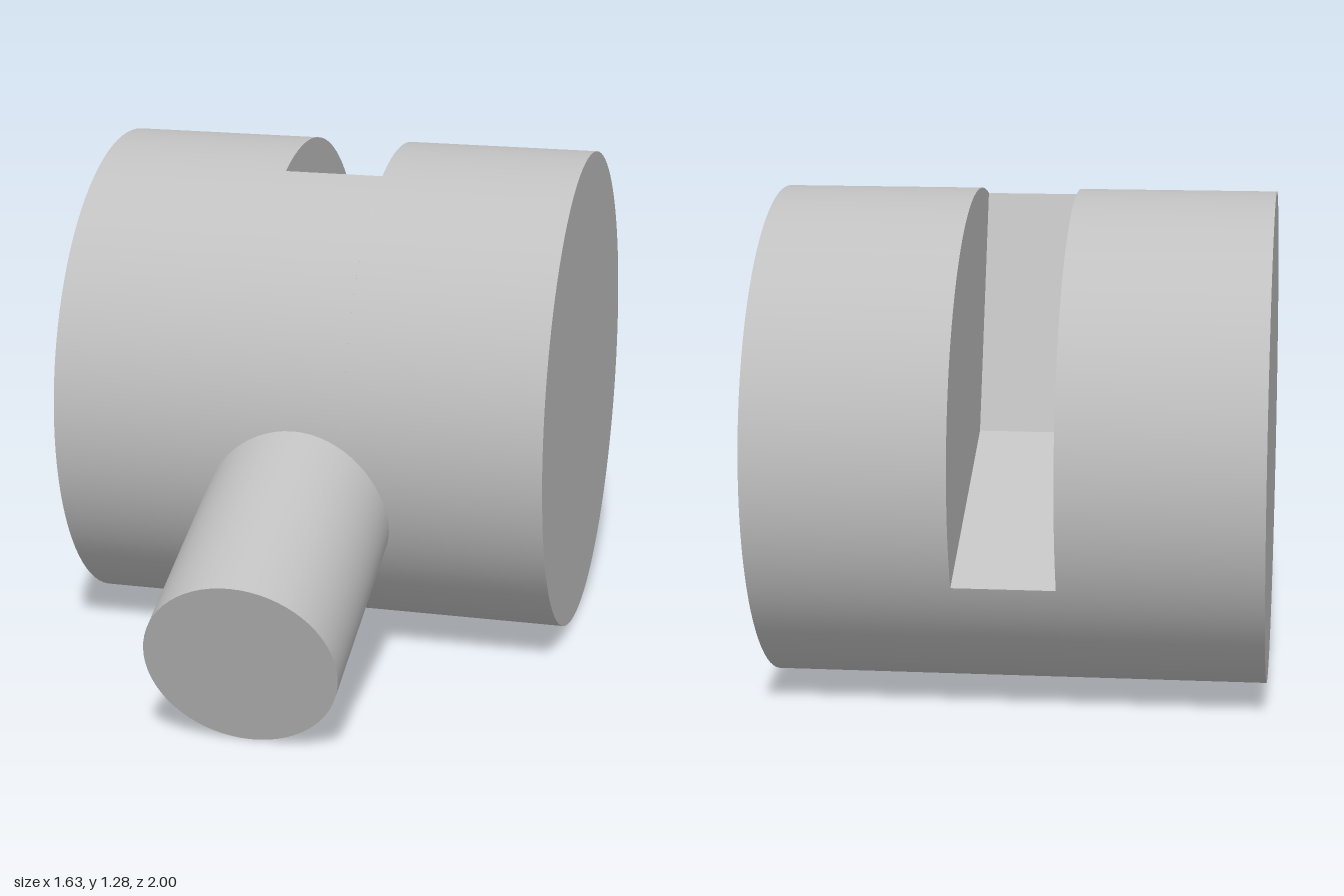
import * as THREE from 'three';

const R = 0.64, HALF = 0.64, SLOT = 0.13; // drum radius, half length, half slot width
const rad = THREE.MathUtils.degToRad;

export function createModel() {
  const grey = new THREE.MeshStandardMaterial({ color: 0xc0c0c0 });
  grey.name = 'light grey';

  // Drum axis lies along local z, its profile in local xy with +x to the front
  const model = new THREE.Group();
  const drum = new THREE.Group();
  drum.name = 'slottedDrum';
  drum.position.set(0, R, -0.187);
  drum.rotation.y = rad(19 - 90);
  model.add(drum);

  const add = (name, geometry) => {
    const mesh = new THREE.Mesh(geometry, grey);
    mesh.name = name;
    drum.add(mesh);
  };

  // Open curved band between z0 and z1, covering an arc in degrees
  const band = (z0, z1, start = 0, sweep = 360) =>
    new THREE.CylinderGeometry(R, R, z1 - z0, 96, 1, true, rad(start + 90), rad(sweep))
      .rotateX(Math.PI / 2).translate(0, 0, (z0 + z1) / 2);

  // Flat disc or sector at z, facing +z or -z
  const disc = (z, facing, start = 0, sweep = 360) => {
    const s = facing > 0 ? start : 180 - start - sweep;
    const g = new THREE.CircleGeometry(R, 96, rad(s), rad(sweep));
    if (facing < 0) g.rotateY(Math.PI);
    return g.translate(0, 0, z);
  };

  // Wedge-shaped slot from angle A to angle B, reaching the drum axis
  const A = 70.3, B = 204.4;
  for (const s of [-1, 1]) {
    const side = s < 0 ? 'right' : 'left';
    add(side + 'DrumSide', s < 0 ? band(-HALF, -SLOT) : band(SLOT, HALF));
    add(side + 'DrumEnd', disc(s * HALF, s));
    add(side + 'SlotWall', disc(s * SLOT, -s, A, B - A));
  }
  add('middleDrumSide', band(-SLOT, SLOT, B, 360 - (B - A)));

  // Two slot floors meeting on the axis
  for (const [name, angle, turn] of [['frontSlotFloor', A, -90], ['backSlotFloor', B, 90]]) {
    add(name, new THREE.PlaneGeometry(R, 2 * SLOT)
      .rotateX(rad(turn)).translate(R / 2, 0, 0).rotateZ(rad(angle)));
  }

  // Peg pointing out and down from the front of the drum
  const inner = 0.5, outer = 1.21;
  add('peg', new THREE.CylinderGeometry(0.242, 0.242, outer - inner, 64)
    .translate(0, (inner + outer) / 2, 0).rotateZ(rad(-110)));

  return model;
}
